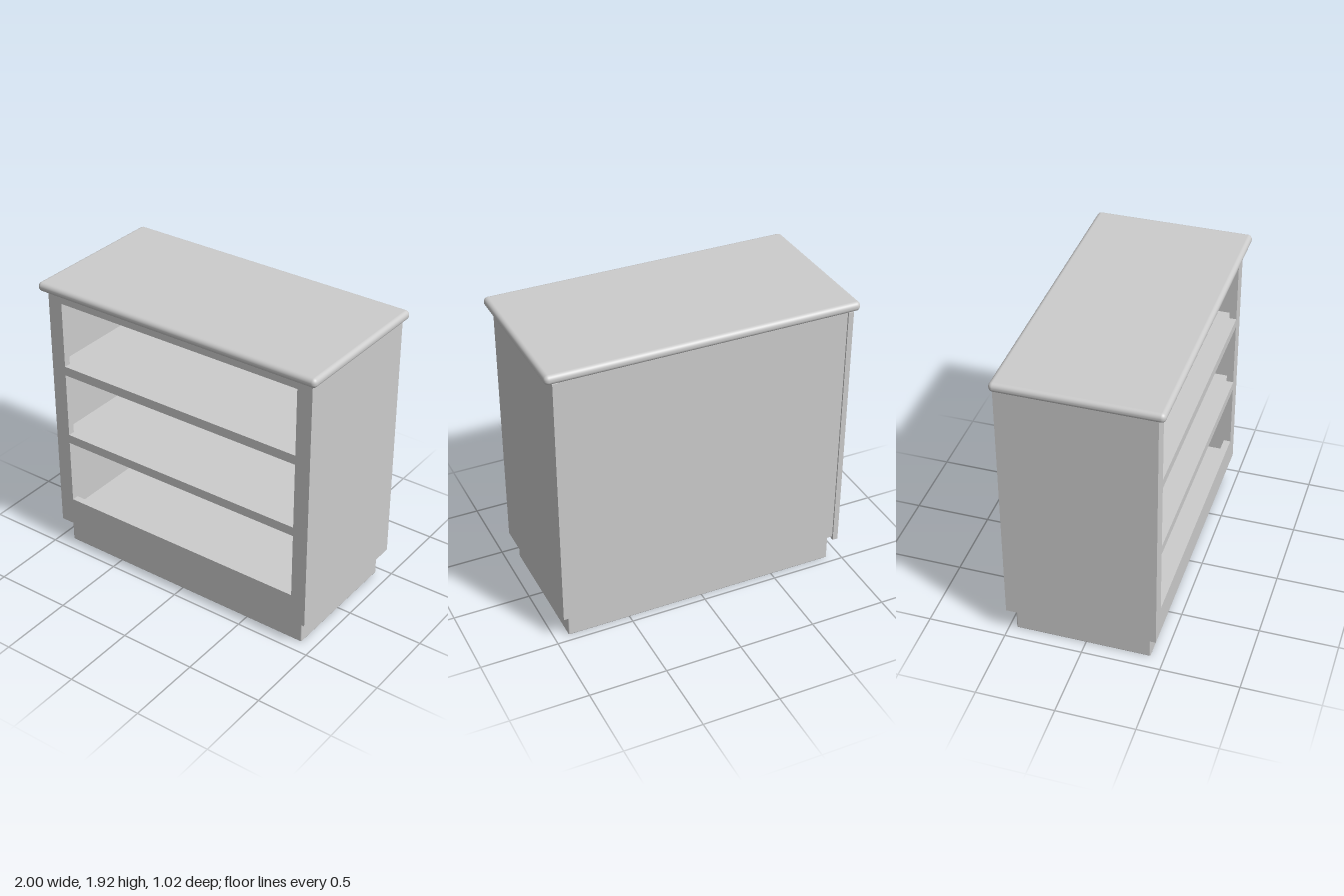
import * as THREE from 'three';
import { RoundedBoxGeometry } from 'three/addons/geometries/RoundedBoxGeometry.js';

const material = new THREE.MeshStandardMaterial({ color: 0xcccccc });

export function createModel() {
  const group = new THREE.Group();
  group.name = 'drawerCabinet';

  function add(name, geometry, x = 0, y = 0, z = 0) {
    const mesh = new THREE.Mesh(geometry, material);
    mesh.name = name;
    mesh.position.set(x, y, z);
    group.add(mesh);
    return mesh;
  }

  // Box given by its min and max extents, optionally with softened edges
  function block(name, [x0, x1], [y0, y1], [z0, z1], radius = 0, segments = 2) {
    const size = [x1 - x0, y1 - y0, z1 - z0];
    const geometry = radius
      ? new RoundedBoxGeometry(...size, segments, radius)
      : new THREE.BoxGeometry(...size);
    return add(name, geometry, (x0 + x1) / 2, (y0 + y1) / 2, (z0 + z1) / 2);
  }

  const halfWidth = 0.955, bottom = 0.173, top = 1.858;
  const front = 0.46, back = -0.5, frameDepth = 0.045, sideThickness = 0.035;
  const inner = halfWidth - sideThickness;
  const frameBack = front - frameDepth;
  const panelBack = back + 0.01, panelFront = back + 0.03;

  // Base and worktop
  block('plinth', [-0.91, 0.91], [0, 0.175], [-0.453, 0.415], 0.008);
  block('worktop', [-1, 1], [1.857, 1.917], [-0.51, 0.508], 0.028, 5);

  // Side panels
  for (const side of [-1, 1]) {
    const xs = [side * inner, side * halfWidth].sort((a, b) => a - b);
    block(side > 0 ? 'leftSide' : 'rightSide', xs, [bottom, top], [back, frameBack]);
  }

  // Front frame with three drawer openings
  const openings = [[0.365, 0.8], [0.86, 1.297], [1.358, 1.795]];
  const openHalf = 0.855;
  const rectangle = (PathType, w, y0, y1) => new PathType([
    new THREE.Vector2(-w, y0), new THREE.Vector2(w, y0),
    new THREE.Vector2(w, y1), new THREE.Vector2(-w, y1),
  ]);
  const frame = rectangle(THREE.Shape, halfWidth, bottom, top);
  for (const [y0, y1] of openings) frame.holes.push(rectangle(THREE.Path, openHalf, y0, y1));
  add('frontFrame', new THREE.ExtrudeGeometry(frame, { depth: frameDepth, bevelEnabled: false }), 0, 0, frameBack);

  // Inset back panel, with a low rail along its inside
  block('backPanel', [-inner, inner], [0.195, top], [panelBack, panelFront]);
  block('backRail', [-inner, inner], [0.235, 0.31], [panelFront, panelFront + 0.008]);

  // Cabinet floor and the shelves between the openings
  block('floor', [-inner, inner], [0.185, 0.235], [panelFront, frameBack]);
  openings.slice(1).forEach(([y], i) =>
    block(`shelf${i + 1}`, [-inner, inner], [y - 0.04, y - 0.002], [panelFront, frameBack]));

  return group;
}
